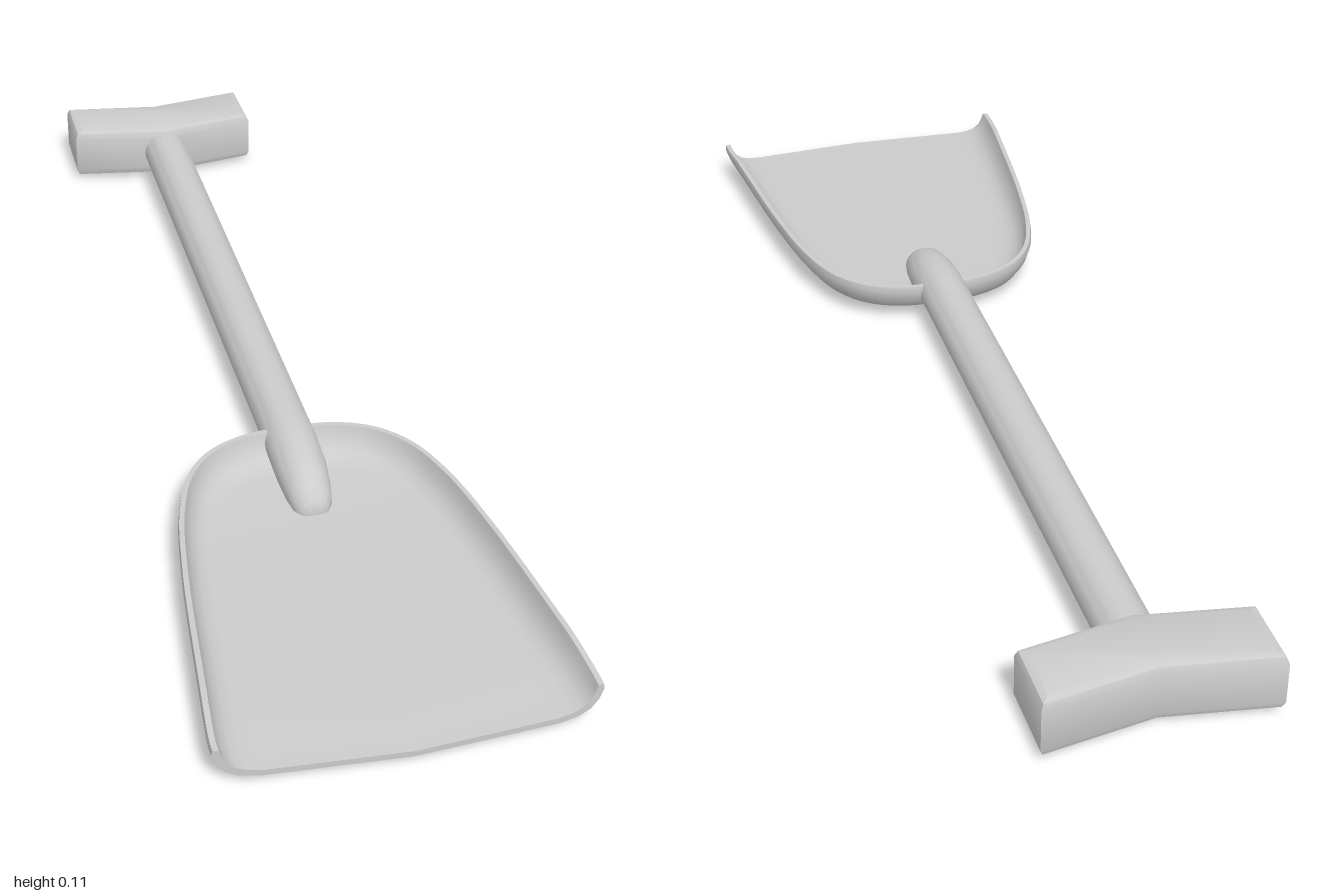
import * as THREE from 'three';
import { toCreasedNormals } from 'three/addons/utils/BufferGeometryUtils.js';

const material = new THREE.MeshStandardMaterial({ color: 0xcccccc, roughness: 0.7 });

function part(name, geometry, crease) {
  const mesh = new THREE.Mesh(toCreasedNormals(geometry, crease), material);
  mesh.name = name;
  return mesh;
}

// Shallow pan: a wall profile swept round a U-shaped outline, meeting at a central spine.
function bladeGeometry() {
  const half = [[0.08, 0.246], [0.15, 0.277], [0.2, 0.335], [0.235, 0.43],
    [0.262, 0.58], [0.285, 0.78], [0.301, 0.95], [0.301, 0.975]];
  const outline = [...half].reverse().concat([[0, 0.24]], half.map(([x, z]) => [-x, z]));
  const path = new THREE.CatmullRomCurve3(outline.map(([x, z]) => new THREE.Vector3(x, 0, z)), false, 'centripetal');

  // [inset from the outline, height]; null means the spine
  const profile = [[null, 0.02], [0.07, 0.0205], [0.04, 0.024], [0.02, 0.034], [0.007, 0.052], [0, 0.074],
    [0.002, 0.085], [0.011, 0.085], [0.014, 0.074], [0.021, 0.056], [0.034, 0.043], [0.05, 0.036],
    [0.075, 0.033], [null, 0.032]];
  const rows = 96, n = profile.length;
  const pos = [], index = [];

  for (let i = 0; i <= rows; i++) {
    const p = path.getPointAt(i / rows);
    const spine = new THREE.Vector3(0, 0, 0.45 + (p.z - 0.24) * (0.525 / 0.735));
    const dir = spine.clone().sub(p).normalize();
    const rimDrop = 1 - 0.14 * THREE.MathUtils.smoothstep(p.z, 0.85, 0.975);
    for (const [inset, y] of profile) {
      const q = inset === null ? spine.clone() : p.clone().addScaledVector(dir, inset);
      // bowed front lip
      const bow = 0.025 * (1 - (q.x / 0.301) ** 2) * THREE.MathUtils.smoothstep(q.z, 0.7, 0.975);
      pos.push(q.x, 0.02 + (y - 0.02) * rimDrop, q.z + bow);
    }
  }
  const quad = (a, b, c, d) => index.push(a, b, c, a, c, d);
  for (let i = 0; i < rows; i++) {
    for (let j = 0; j < n - 1; j++) {
      const a = i * n + j;
      quad(a, a + n, a + n + 1, a + 1);
    }
  }
  // thin front edge closing both ends of the sweep
  for (let j = 0; j < n / 2 - 1; j++) {
    quad(j, j + 1, n - 2 - j, n - 1 - j);
    const e = rows * n;
    quad(e + n - 1 - j, e + n - 2 - j, e + j + 1, e + j);
  }
  const g = new THREE.BufferGeometry();
  g.setAttribute('position', new THREE.Float32BufferAttribute(pos, 3));
  g.setIndex(index);
  return g;
}

// Round pole whose front end swells down through the blade and tapers to a blunt tip.
function shaftGeometry() {
  // [z, top, bottom, half width]
  const stations = [[-0.87, 0.11, 0.02, 0.045], [0.22, 0.11, 0.02, 0.045], [0.27, 0.109, 0.016, 0.046],
    [0.33, 0.103, 0.009, 0.045], [0.38, 0.09, 0.004, 0.04], [0.41, 0.073, 0.004, 0.034],
    [0.425, 0.058, 0.008, 0.025], [0.431, 0.046, 0.014, 0.014]];
  const last = stations.length - 1;
  const g = new THREE.CylinderGeometry(1, 1, 1, 32, last).rotateX(Math.PI / 2);
  const p = g.attributes.position;
  for (let i = 0; i < p.count; i++) {
    const [z, top, bottom, width] = stations[Math.round((p.getZ(i) + 0.5) * last)];
    p.setXYZ(i, p.getX(i) * width, (top + bottom) / 2 + p.getY(i) * (top - bottom) / 2, z);
  }
  return g;
}

// Chevron crossbar with bevelled edges.
function gripGeometry() {
  const b = 0.016;
  const shape = new THREE.Shape([[-0.176, -0.981], [0, -0.953], [0.176, -0.981],
    [0.176, -0.882], [0, -0.853], [-0.176, -0.882]].map(([x, z]) => new THREE.Vector2(x, z)).reverse());
  const g = new THREE.ExtrudeGeometry(shape, {
    depth: 0.106 - 2 * b, bevelThickness: b, bevelSize: b, bevelSegments: 2, steps: 1,
  });
  return g.rotateX(Math.PI / 2).translate(0, 0.118 - b, 0);
}

export function createModel() {
  const model = new THREE.Group();
  model.name = 'shovel';
  model.add(
    part('blade', bladeGeometry(), 0.9),
    part('shaft', shaftGeometry(), 0.9),
    part('grip', gripGeometry(), 0.5),
  );
  return model;
}
